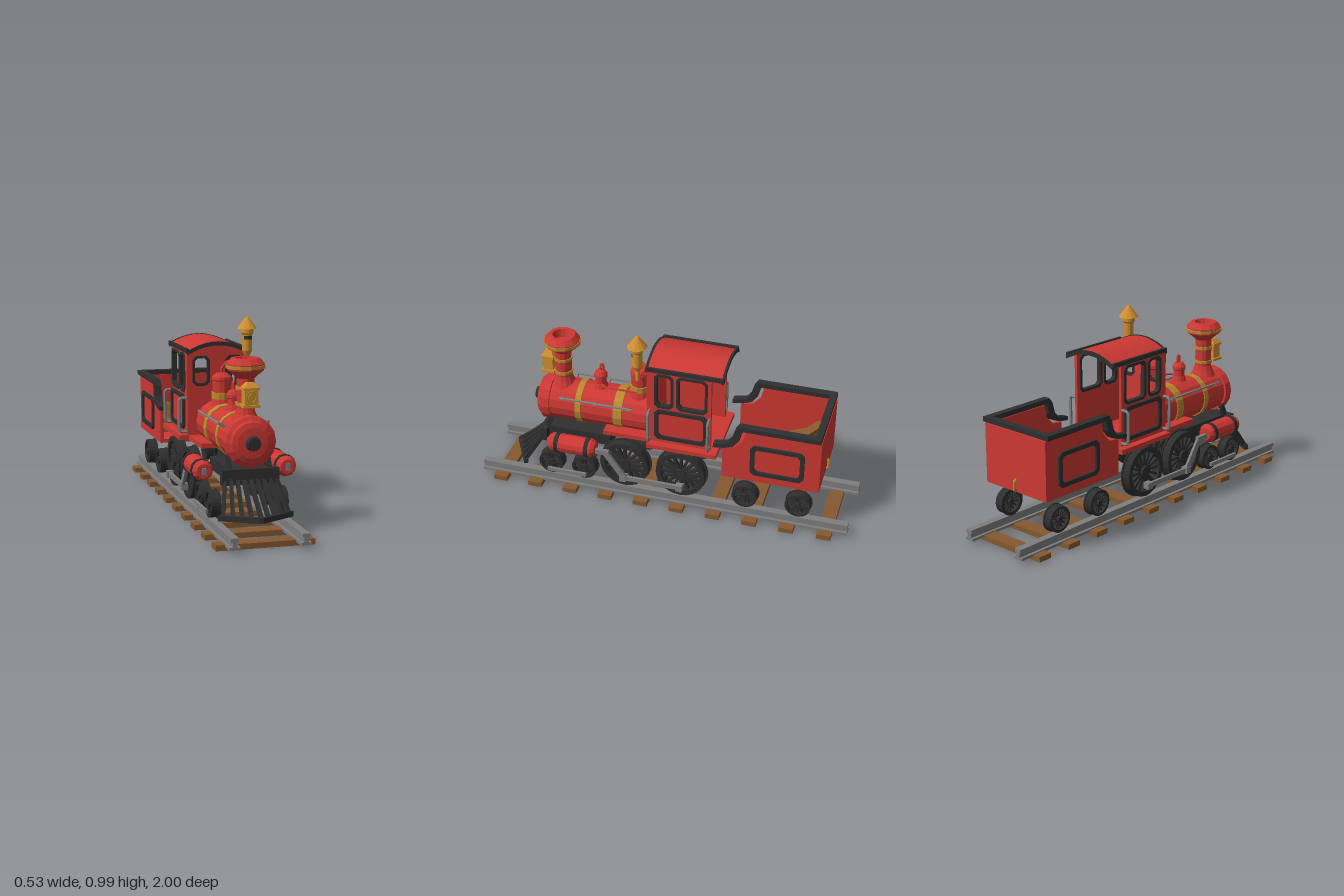
import * as THREE from 'three';

const material = (name, color) => {
  const m = new THREE.MeshStandardMaterial({ color });
  m.name = name;
  return m;
};

export function createModel() {
  const root = new THREE.Group();
  root.name = 'steamTrain';
  const red = material('red paint', 0xcc3833);
  const black = material('black iron', 0x2f2f2f);
  const grey = material('steel', 0x7e7e7e);
  const brass = material('brass', 0xd08f2f);
  const band = material('dull gold', 0xb98a30);
  const wood = material('wood', 0x85592f);

  // Faceted mesh added to the model
  const add = (name, geo, mat, x = 0, y = 0, z = 0) => {
    const g = geo.index ? geo.toNonIndexed() : geo;
    g.computeVertexNormals();
    const m = new THREE.Mesh(g, mat);
    m.name = name;
    m.position.set(x, y, z);
    root.add(m);
    return m;
  };
  const box = (name, mat, w, h, d, x, y, z) => add(name, new THREE.BoxGeometry(w, h, d), mat, x, y, z);
  const lathe = (pts, seg) => new THREE.LatheGeometry(pts.map(p => new THREE.Vector2(p[0], p[1])), seg);
  const ring = (ri, ro, w, seg) => lathe([[ri, -w / 2], [ro, -w / 2], [ro, w / 2], [ri, w / 2], [ri, -w / 2]], seg);
  const bar = (name, mat, a, b, w, h) => {
    const p = new THREE.Vector3(...a), q = new THREE.Vector3(...b);
    const m = box(name, mat, w, h, p.distanceTo(q), 0, 0, 0);
    m.position.copy(p).add(q).multiplyScalar(0.5);
    m.lookAt(q);
    return m;
  };
  const pipe = (name, mat, pts, r) => {
    const path = new THREE.CurvePath();
    const v = pts.map(p => new THREE.Vector3(...p));
    for (let i = 1; i < v.length; i++) path.add(new THREE.LineCurve3(v[i - 1], v[i]));
    return add(name, new THREE.TubeGeometry(path, (v.length - 1) * 6, r, 6), mat);
  };
  const poly = pts => new THREE.Shape(pts.map(p => new THREE.Vector2(p[0], p[1])));
  // Rectangle with clipped corners
  const clipped = (x0, x1, y0, y1, c = 0.015) => poly([[x0 + c, y0], [x1 - c, y0], [x1, y0 + c], [x1, y1 - c],
    [x1 - c, y1], [x0 + c, y1], [x0, y1 - c], [x0, y0 + c]]);
  const frameShape = (x0, x1, y0, y1, t) => {
    const s = clipped(x0, x1, y0, y1, 0.02);
    s.holes.push(clipped(x0 + t, x1 - t, y0 + t, y1 - t));
    return s;
  };
  const plate = (shape, depth) => new THREE.ExtrudeGeometry(shape, { depth, bevelEnabled: false });
  // Plate drawn in (z, y), spanning x from xOuter - depth to xOuter
  const sidePlate = (name, mat, shape, depth, xOuter) => add(name, plate(shape, depth).rotateY(-Math.PI / 2), mat, xOuter);

  // Track
  for (let i = 0; i < 10; i++) box('sleeper', wood, 0.48, 0.027, 0.075, 0, 0.0135, 0.886 - i * 0.197);
  for (const s of [-1, 1]) {
    box('railFoot', grey, 0.052, 0.014, 2, s * 0.171, 0.026, 0);
    box('railWeb', grey, 0.022, 0.03, 2, s * 0.171, 0.045, 0);
    box('railHead', grey, 0.038, 0.018, 2, s * 0.171, 0.066, 0);
  }

  // Spoked wheels
  const wheel = (x, y, z, r, w, spokes) => {
    const s = Math.sign(x);
    add('wheelRim', ring(r * 0.8, r, w, 24).rotateZ(-Math.PI / 2), black, x, y, z);
    add('wheelFlange', ring(r * 0.8, r * 1.06, 0.008, 24).rotateZ(-Math.PI / 2), black, x - s * w / 2, y, z);
    add('wheelHub', new THREE.CylinderGeometry(r * 0.24, r * 0.24, w * 1.1, 12).rotateZ(Math.PI / 2), black, x, y, z);
    for (let i = 0; i < spokes; i++) {
      const a = i / spokes * Math.PI * 2;
      const g = new THREE.BoxGeometry(w * 0.5, r * 0.64, r * 0.1).translate(0, r * 0.52, 0).rotateX(a);
      add('wheelSpoke', g, black, x, y, z);
    }
  };
  for (const s of [-1, 1]) {
    for (const z of [0.195, -0.11]) wheel(s * 0.17, 0.215, z, 0.132, 0.045, 16);
    for (const z of [0.605, 0.42, -0.455, -0.735]) wheel(s * 0.17, 0.148, z, 0.067, 0.045, 14);
    // Driving rods
    bar('couplingRod', grey, [s * 0.21, 0.145, 0.21], [s * 0.21, 0.145, -0.125], 0.014, 0.026);
    bar('connectingRod', grey, [s * 0.215, 0.295, 0.29], [s * 0.215, 0.145, 0.185], 0.014, 0.032);
    bar('pistonRod', grey, [s * 0.215, 0.295, 0.36], [s * 0.215, 0.295, 0.27], 0.02, 0.026);
    bar('bogieRod', grey, [s * 0.205, 0.113, 0.62], [s * 0.205, 0.113, 0.405], 0.014, 0.02);
    for (const z of [0.195, -0.11]) box('crankPin', grey, 0.035, 0.035, 0.035, s * 0.208, 0.145, z);
    // Steam cylinders
    const cyl = [[0, -0.128], [0.036, -0.128], [0.05, -0.108], [0.05, 0.108], [0.036, 0.128], [0, 0.128]];
    add('steamCylinder', lathe(cyl, 12).rotateX(Math.PI / 2), red, s * 0.21, 0.304, 0.47);
    for (const z of [0.55, 0.385]) add('cylinderBand', ring(0.045, 0.054, 0.022, 12).rotateX(Math.PI / 2), black, s * 0.21, 0.304, z);
    box('cylinderValve', grey, 0.02, 0.032, 0.02, s * 0.21, 0.304, 0.6);
    // Boiler handrail with posts
    pipe('boilerRail', grey, [[s * 0.124, 0.525, 0.565], [s * 0.124, 0.525, 0.17]], 0.007);
    for (const z of [0.55, 0.37, 0.19]) bar('railPost', grey, [s * 0.08, 0.5, z], [s * 0.13, 0.528, z], 0.012, 0.014);
    // Cab grab handles
    for (const z of [0.06, -0.255]) {
      pipe('grabHandle', grey, [[s * 0.155, 0.575, z], [s * 0.19, 0.575, z], [s * 0.2, 0.565, z],
        [s * 0.2, 0.415, z], [s * 0.19, 0.4, z], [s * 0.155, 0.4, z]], 0.008);
    }
  }

  // Boiler and smokebox door
  add('boiler', lathe([[0, 0.06], [0.113, 0.06], [0.113, 0.63], [0.125, 0.63], [0.125, 0.675], [0.108, 0.685],
    [0.1, 0.7], [0.075, 0.708], [0, 0.712]], 16).rotateX(Math.PI / 2), red, 0, 0.45, 0);
  add('smokeboxDoorKnob', new THREE.CylinderGeometry(0.032, 0.038, 0.035, 12).rotateX(Math.PI / 2), black, 0, 0.45, 0.72);
  for (const z of [0.472, 0.255]) add('boilerBand', ring(0.108, 0.118, z > 0.4 ? 0.032 : 0.047, 16).rotateX(Math.PI / 2), band, 0, 0.45, z);
  box('frame', black, 0.2, 0.06, 0.36, 0, 0.285, 0.48);

  // Chimney
  add('chimney', lathe([[0.07, 0.535], [0.052, 0.575], [0.044, 0.6], [0.044, 0.745], [0.055, 0.757], [0.09, 0.785],
    [0.094, 0.815], [0.07, 0.842], [0.05, 0.842], [0.04, 0.8], [0, 0.8]], 12), red, 0, 0, 0.58);
  for (const [y, r] of [[0.7, 0.049], [0.622, 0.05], [0.802, 0.098]]) add('chimneyBand', ring(r - 0.012, r, 0.016, 12), band, 0, y, 0.58);

  // Headlamp
  box('lampBase', brass, 0.084, 0.014, 0.07, 0, 0.622, 0.655);
  box('lampBody', brass, 0.066, 0.075, 0.054, 0, 0.664, 0.655);
  box('lampEave', brass, 0.08, 0.012, 0.066, 0, 0.705, 0.655);
  add('lampRoof', new THREE.CylinderGeometry(0.026, 0.05, 0.022, 4).rotateY(Math.PI / 4), brass, 0, 0.722, 0.655);
  add('lampRim', plate(frameShape(-0.028, 0.028, 0.634, 0.696, 0.008), 0.006), band, 0, 0, 0.682);
  add('lampLens', new THREE.CylinderGeometry(0.016, 0.016, 0.008, 12).rotateX(Math.PI / 2), band, 0, 0.667, 0.685);

  // Domes
  add('sandDome', lathe([[0.042, 0.545], [0.034, 0.575], [0.03, 0.585], [0.03, 0.615], [0.036, 0.62], [0.036, 0.635],
    [0.024, 0.655], [0, 0.662]], 12), red, 0, 0, 0.375);
  pipe('sandDomeValve', red, [[0, 0.65, 0.375], [0, 0.695, 0.375], [0, 0.695, 0.36], [0, 0.65, 0.36]], 0.006);
  add('steamDome', lathe([[0.062, 0.54], [0.052, 0.58], [0.048, 0.59], [0.048, 0.675], [0.052, 0.68], [0.05, 0.695],
    [0.03, 0.712], [0, 0.716]], 12), red, 0, 0, 0.16);
  add('steamDomeBand', ring(0.04, 0.055, 0.032, 12), band, 0, 0.6, 0.16);
  pipe('sandPipe', red, [[0.03, 0.588, 0.36], [0.05, 0.588, 0.34], [0.05, 0.588, 0.16]], 0.006);

  // Whistle
  add('whistle', lathe([[0, 0.735], [0.012, 0.735], [0.012, 0.79], [0.027, 0.82], [0.027, 0.9], [0.033, 0.91],
    [0.033, 0.93], [0.052, 0.932], [0.008, 0.99], [0, 0.992]], 12), brass, 0.142, 0, 0.128);
  add('whistleSlot', new THREE.CylinderGeometry(0.0285, 0.0285, 0.018, 8, 1, true, -0.9, 1.8), black, 0.142, 0.886, 0.128);
  pipe('whistlePipe', red, [[0, 0.7, 0.16], [0, 0.74, 0.16], [0.03, 0.765, 0.14], [0.07, 0.768, 0.1], [0.142, 0.745, 0.128]], 0.007);

  // Running boards
  box('cabFloor', red, 0.4, 0.024, 0.37, 0, 0.372, -0.115);
  box('runningBoard', red, 0.3, 0.024, 0.25, 0, 0.372, 0.195);

  // Cab walls, windows and lower panels
  const panes = [[-0.06, 0.03], [-0.237, -0.085]];
  for (const s of [-1, 1]) {
    const wall = poly([[-0.262, 0.38], [0.075, 0.38], [0.075, 0.82], [-0.262, 0.82]]);
    for (const [a, b] of panes) wall.holes.push(clipped(a, b, 0.605, 0.795));
    sidePlate('cabSide', red, wall, 0.016, s > 0 ? 0.16 : -0.144);
    for (const [a, b] of panes) sidePlate('cabWindowFrame', black, frameShape(a - 0.006, b + 0.006, 0.598, 0.802, 0.014), 0.026, s > 0 ? 0.165 : -0.139);
    sidePlate('cabPanelFrame', black, frameShape(-0.245, 0.035, 0.408, 0.588, 0.02), 0.014, s > 0 ? 0.172 : -0.158);
  }
  const arch = (w, yEave, yTop) => Array.from({ length: 11 }, (_, i) => {
    const t = 1 - i / 5;
    return [t * w, yTop - (yTop - yEave) * t * t];
  });
  const front = poly([[-0.16, 0.38], [0.16, 0.38], ...arch(0.16, 0.805, 0.85)]);
  for (const s of [-1, 1]) {
    const x0 = s > 0 ? 0.045 : -0.128;
    front.holes.push(clipped(x0, x0 + 0.083, 0.645, 0.785));
    add('frontWindowFrame', plate(frameShape(x0 - 0.004, x0 + 0.087, 0.638, 0.792, 0.012), 0.024), black, 0, 0, 0.057);
  }
  add('cabFront', plate(front, 0.016), red, 0, 0, 0.06);

  // Arched roof with dark edging
  const roofShape = (w, drop, t) => poly([...arch(w, 0.815 - drop, 0.862 - drop), ...arch(w, 0.815 - drop - t, 0.862 - drop - t).reverse()]);
  add('roof', plate(roofShape(0.156, 0, 0.014), 0.395), red, 0, 0, -0.315);
  for (const z of [0.072, -0.324]) add('roofEndTrim', plate(roofShape(0.16, -0.002, 0.02), 0.012), black, 0, 0, z);
  for (const s of [-1, 1]) box('roofEave', black, 0.014, 0.022, 0.4, s * 0.157, 0.818, -0.12);

  // Front beam and cowcatcher
  box('frontBeam', black, 0.285, 0.075, 0.04, 0, 0.284, 0.66);
  const tip = x => 0.855 - Math.abs(x) * 0.56;
  for (const s of [-1, 1]) {
    bar('catcherFoot', black, [s * 0.18, 0.112, tip(0.18)], [0, 0.112, tip(0)], 0.024, 0.026);
    bar('beamStay', black, [s * 0.1, 0.38, 0.62], [s * 0.1, 0.27, 0.67], 0.02, 0.025);
  }
  for (let i = -4; i <= 4; i++) bar('catcherBar', black, [i * 0.032, 0.265, 0.67], [i * 0.04, 0.115, tip(i * 0.04)], 0.018, 0.022);

  // Tender
  const side = [[-0.84, 0.27], [-0.335, 0.27], [-0.335, 0.455], [-0.4, 0.465], [-0.44, 0.51], [-0.455, 0.575], [-0.84, 0.575]];
  const trim = [[-0.835, 0.604], [-0.835, 0.579], [-0.44, 0.579], [-0.425, 0.52], [-0.395, 0.48], [-0.35, 0.463], [-0.29, 0.455],
    [-0.29, 0.475], [-0.36, 0.49], [-0.385, 0.52], [-0.4, 0.575], [-0.42, 0.604]];
  for (const s of [-1, 1]) {
    sidePlate('tenderSide', red, poly(side), 0.018, s > 0 ? 0.206 : -0.188);
    sidePlate('tenderTrim', black, poly(trim), 0.038, s > 0 ? 0.223 : -0.185);
    sidePlate('tenderPanelFrame', black, frameShape(-0.76, -0.482, 0.318, 0.498, 0.022), 0.014, s > 0 ? 0.218 : -0.204);
  }
  box('tenderBack', red, 0.376, 0.305, 0.018, 0, 0.4225, -0.831);
  box('tenderFloor', red, 0.376, 0.02, 0.49, 0, 0.28, -0.58);
  box('tenderBackTrim', black, 0.446, 0.025, 0.035, 0, 0.5915, -0.82);
  pipe('rearHook', band, [[0, 0.335, -0.838], [0, 0.325, -0.85], [0, 0.285, -0.85], [0, 0.275, -0.842]], 0.008);

  // Firewood
  const logs = [[[-0.17, 0.38, -0.77], [-0.1, 0.32, -0.53]], [[-0.13, 0.4, -0.78], [-0.03, 0.34, -0.62]],
    [[-0.15, 0.43, -0.78], [0.03, 0.37, -0.61]], [[-0.1, 0.31, -0.75], [-0.13, 0.31, -0.54]]];
  for (const [a, b] of logs) bar('firewood', wood, a, b, 0.048, 0.042);
  return root;
}
